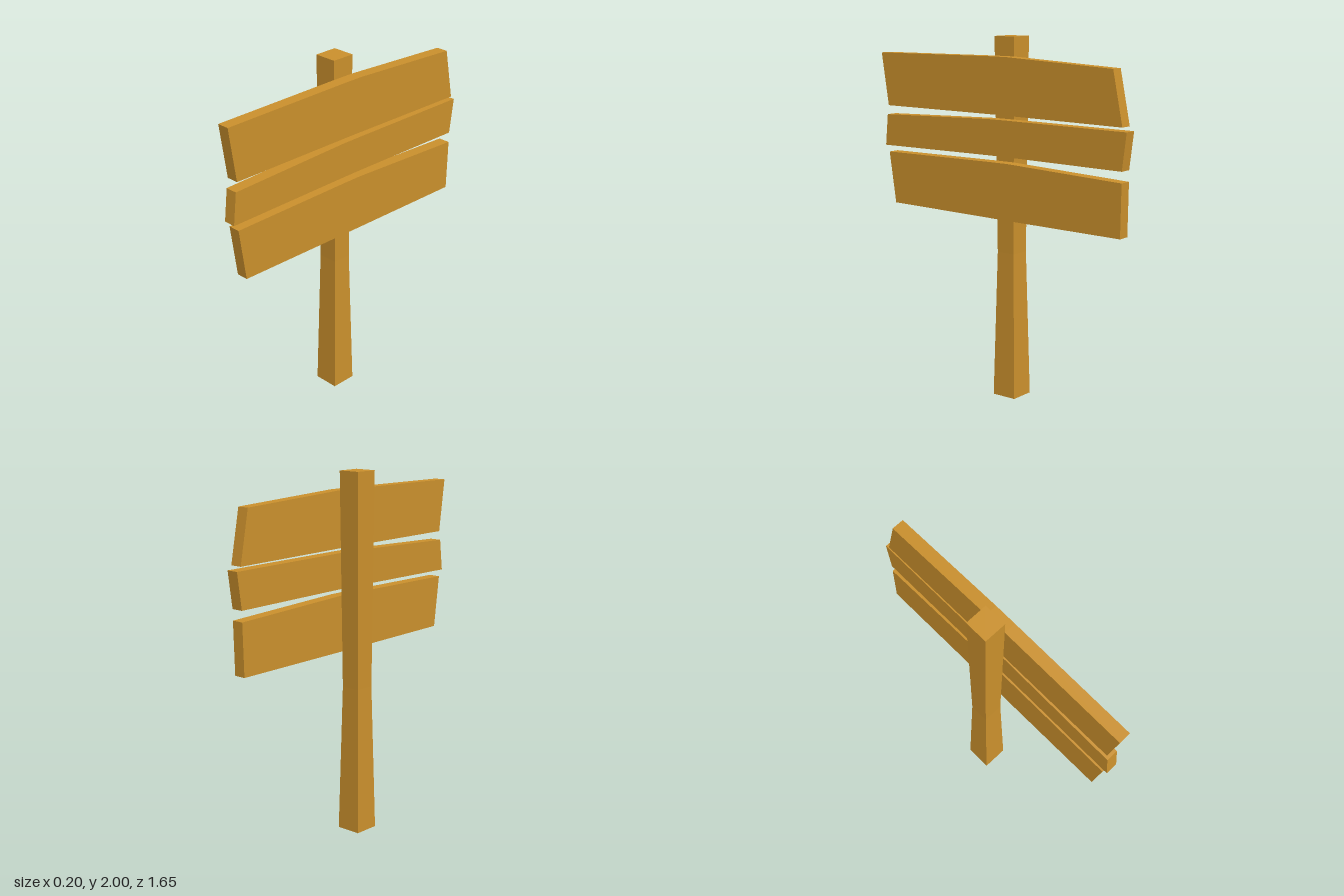
import * as THREE from 'three';

const wood = new THREE.MeshStandardMaterial({ color: 0xc98f2c, flatShading: true });

// Square post, pinched below the boards: each section is [y, xMin, xMax, zMin, zMax]
function createPost() {
  const sections = [
    [0, -0.104, 0.04, -0.08, 0.066],
    [0.82, -0.089, 0.024, -0.061, 0.048],
    [2, -0.096, 0.033, -0.072, 0.061],
  ];
  const geometry = new THREE.BoxGeometry(1, 2, 1, 1, 2, 1);
  const p = geometry.attributes.position;
  for (let i = 0; i < p.count; i++) {
    const [y, x0, x1, z0, z1] = sections[Math.round(p.getY(i)) + 1];
    p.setXYZ(i, p.getX(i) < 0 ? x0 : x1, y, p.getZ(i) < 0 ? z0 : z1);
  }
  geometry.computeVertexNormals();
  const post = new THREE.Mesh(geometry, wood);
  post.name = 'post';
  return post;
}

// Board outline given as [z, y] corners, extruded in x and leaning with the post
function createBoard(name, outline) {
  const shape = new THREE.Shape(outline.map(([z, y]) => new THREE.Vector2(-z, y)));
  const geometry = new THREE.ExtrudeGeometry(shape, { depth: 0.068, bevelEnabled: false });
  geometry.rotateY(Math.PI / 2);
  const p = geometry.attributes.position;
  for (let i = 0; i < p.count; i++) {
    p.setX(i, p.getX(i) + 0.025 + (p.getY(i) - 1) * 0.008);
  }
  geometry.computeVertexNormals();
  const board = new THREE.Mesh(geometry, wood);
  board.name = name;
  return board;
}

export function createModel() {
  const sign = new THREE.Group();
  sign.name = 'signpost';
  sign.add(createPost());

  // Three uneven boards, each slightly bent where it crosses the post
  const boards = {
    topBoard: [
      [0.783, 1.59], [0.06, 1.588], [-0.07, 1.587], [-0.798, 1.578],
      [-0.74, 1.864], [-0.07, 1.896], [0.06, 1.896], [0.828, 1.888],
    ],
    middleBoard: [
      [0.812, 1.36], [0.06, 1.365], [-0.07, 1.365], [-0.798, 1.357],
      [-0.824, 1.556], [-0.07, 1.561], [0.06, 1.561], [0.793, 1.538],
    ],
    bottomBoard: [
      [0.743, 1.03], [0.06, 1.021], [-0.07, 1.019], [-0.793, 1.012],
      [-0.798, 1.298], [-0.07, 1.329], [0.06, 1.329], [0.785, 1.323],
    ],
  };
  for (const [name, outline] of Object.entries(boards)) sign.add(createBoard(name, outline));
  return sign;
}
